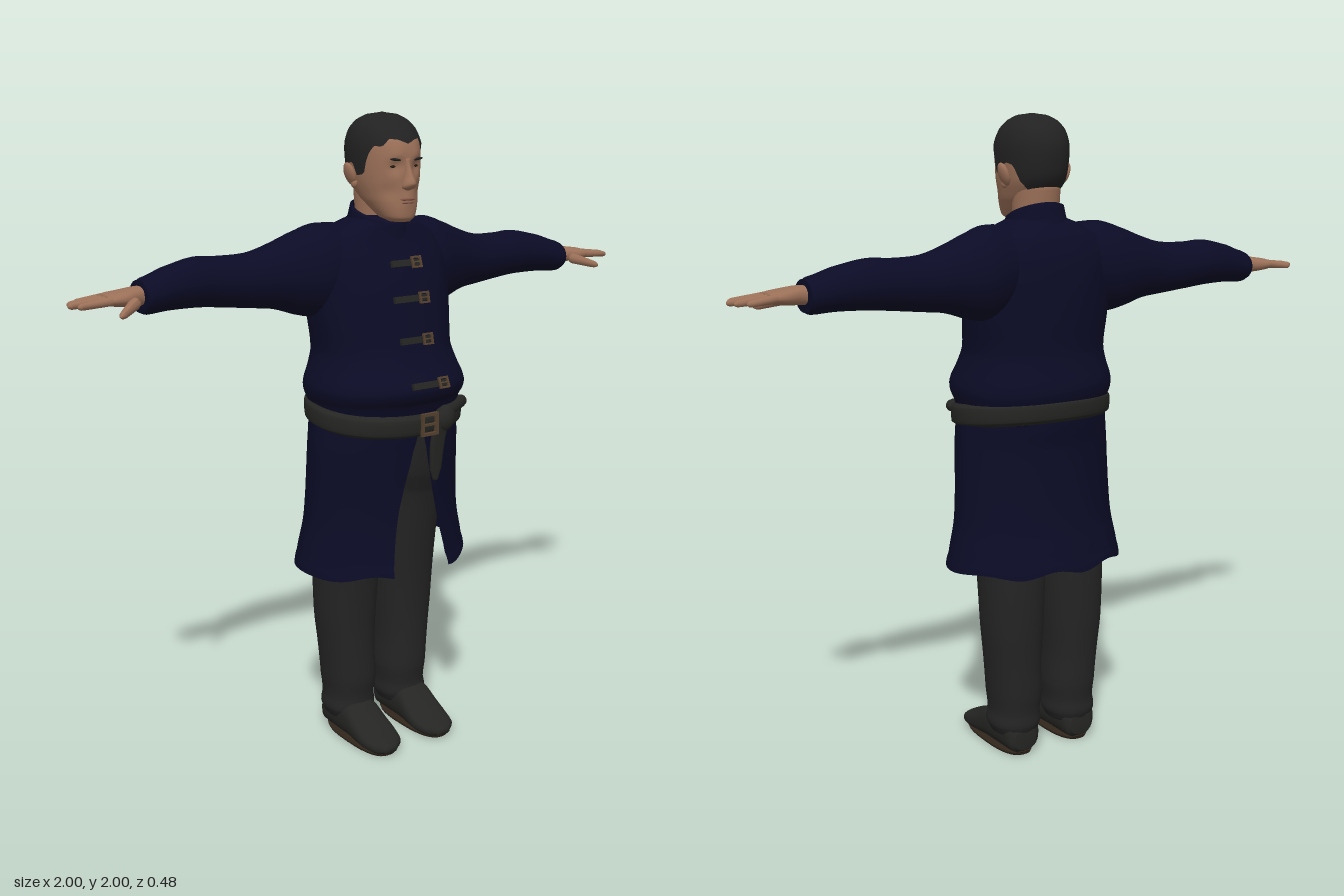
import * as THREE from 'three';

const mat = (name, color, side = THREE.FrontSide) => {
  const m = new THREE.MeshStandardMaterial({ color, side });
  m.name = name;
  return m;
};

// Smoothly interpolated row [t, pMin, pMax, qMin, qMax, ...] at position t
function rowAt(rows, t) {
  let i = 0;
  while (i < rows.length - 2 && t > rows[i + 1][0]) i++;
  const r = k => rows[Math.min(rows.length - 1, Math.max(0, i + k))];
  const [a, b, c, d] = [r(-1), r(0), r(1), r(2)];
  const f = (t - b[0]) / (c[0] - b[0]);
  return b.map((v, k) => k === 0 ? t : 0.5 * (2 * v + (c[k] - a[k]) * f +
    (2 * a[k] - 5 * v + 4 * c[k] - d[k]) * f * f + (3 * v - a[k] - 3 * c[k] + d[k]) * f * f * f));
}

// Point on a superellipse section; angle 0 faces +q, growing towards +p
function ringPoint(row, ang, e = 2) {
  const pw = v => Math.sign(v) * Math.abs(v) ** (2 / e);
  return [(row[1] + row[2]) / 2 + (row[2] - row[1]) / 2 * pw(Math.sin(ang)),
    (row[3] + row[4]) / 2 + (row[4] - row[3]) / 2 * pw(Math.cos(ang))];
}

// Grid of points joined into a smooth surface
function surface(grid, closed) {
  const n = grid[0].length, idx = [];
  for (let i = 0; i < grid.length - 1; i++)
    for (let j = 0; j < (closed ? n : n - 1); j++) {
      const k = (j + 1) % n, a = i * n + j, b = i * n + k;
      idx.push(a, b, b + n, a, b + n, a + n);
    }
  const g = new THREE.BufferGeometry();
  g.setAttribute('position', new THREE.Float32BufferAttribute(grid.flat(2), 3));
  g.setIndex(idx);
  g.computeVertexNormals();
  return g;
}

// Loft of sections along an axis; columns 5 and 6 of a row give an opening in front
function loft(axis, rows, { n = 32, k = 4, e = 2, cap = true, gap = false, warp = null } = {}) {
  const secs = [];
  for (let i = 0; i < rows.length - 1; i++)
    for (let s = 0; s < k; s++) secs.push(rowAt(rows, rows[i][0] + (rows[i + 1][0] - rows[i][0]) * s / k));
  secs.push(rows[rows.length - 1]);
  if (cap) {
    const dot = r => { const p = (r[1] + r[2]) / 2, q = (r[3] + r[4]) / 2; return [r[0], p, p, q, q]; };
    secs.unshift(dot(secs[0]));
    secs.push(dot(secs[secs.length - 1]));
  }
  const grid = secs.map(r => Array.from({ length: gap ? n + 1 : n }, (_, j) => {
    let ang = j / n * Math.PI * 2;
    if (gap) {
      const a0 = Math.asin(r[6] / r[2]), a1 = Math.PI * 2 - Math.asin(r[5] / r[1]);
      ang = a0 + (a1 - a0) * j / n;
    }
    const [p, q] = ringPoint(r, ang, e), t = r[0];
    const v = axis === 'y' ? [p, t, q] : axis === 'x' ? [t, q, p] : [q, p, t];
    return warp ? warp(v) : v;
  }));
  return surface(grid, !gap);
}

// Tapered capsule from a to b
function finger(a, b, r0, r1) {
  const A = new THREE.Vector3(...a), B = new THREE.Vector3(...b), d = B.clone().sub(A), L = d.length();
  const g = new THREE.CapsuleGeometry(r0, L - 2 * r0, 4, 10), p = g.attributes.position;
  for (let i = 0; i < p.count; i++) {
    const s = 1 + (r1 / r0 - 1) * (p.getY(i) / L + 0.5);
    p.setXYZ(i, p.getX(i) * s, p.getY(i), p.getZ(i) * s);
  }
  g.computeVertexNormals();
  g.applyQuaternion(new THREE.Quaternion().setFromUnitVectors(new THREE.Vector3(0, 1, 0), d.normalize()));
  return g.translate(...A.add(B).multiplyScalar(0.5).toArray());
}

function blob(x, y, z, sx, sy, sz, rz = 0) {
  return new THREE.SphereGeometry(1, 20, 14).scale(sx, sy, sz).rotateZ(rz).translate(x, y, z);
}

function mirrored(geo) {
  const g = geo.clone().scale(-1, 1, 1), ix = g.index.array;
  for (let i = 0; i < ix.length; i += 3) [ix[i], ix[i + 1]] = [ix[i + 1], ix[i]];
  return g;
}

// Rectangular buckle frame with a prong
function buckle(w, h, bar, depth) {
  const box = (s, a, b) => s.moveTo(-a, -b).lineTo(a, -b).lineTo(a, b).lineTo(-a, b).closePath();
  const s = box(new THREE.Shape(), w / 2, h / 2);
  s.holes.push(box(new THREE.Path(), w / 2 - bar, h / 2 - bar));
  return new THREE.ExtrudeGeometry(s, { depth, bevelEnabled: false });
}

export function createModel() {
  const model = new THREE.Group();
  model.name = 'man';
  const navy = mat('navy cloth', 0x0b0b26, THREE.DoubleSide), grey = mat('charcoal cloth', 0x242424);
  const skin = mat('skin', 0x9b7058), black = mat('hair', 0x222222, THREE.DoubleSide);
  const leather = mat('dark leather', 0x252523, THREE.DoubleSide), metal = mat('dull bronze', 0x55412f);
  const lip = mat('lips', 0x85584a), eyeMat = mat('eye', 0x2a1d16), sole = mat('sole', 0x30251b);
  const add = (name, geo, m) => {
    const o = new THREE.Mesh(geo, m);
    o.name = name;
    model.add(o);
    return o;
  };
  const pair = (name, geo, m) => {
    add('left ' + name, geo, m);
    add('right ' + name, mirrored(geo), m);
  };

  // Coat body, bloused above the belt
  const body = [[1.08, -.235, .235, -.195, .185], [1.14, -.245, .245, -.205, .2], [1.17, -.257, .254, -.215, .22],
    [1.2, -.257, .252, -.216, .222], [1.25, -.238, .237, -.205, .192], [1.3, -.226, .226, -.197, .167],
    [1.4, -.235, .235, -.2, .145], [1.5, -.24, .24, -.2, .122], [1.58, -.238, .238, -.192, .095],
    [1.64, -.2, .2, -.17, .07], [1.675, -.13, .13, -.14, .06], [1.7, -.075, .075, -.11, .04]];
  add('coat body', loft('y', body, { n: 48, e: 2.2 }), navy);

  // Coat skirt, open at the front
  add('coat skirt', loft('y', [[.6, -.3, .298, -.236, .2, -.095, .125], [.64, -.292, .29, -.228, .19, -.09, .115],
    [.75, -.272, .27, -.207, .178, -.075, .09], [.85, -.265, .262, -.196, .176, -.055, .066],
    [1, -.26, .256, -.19, .185, -.02, .03], [1.07, -.25, .25, -.198, .19, -.005, .01],
    [1.13, -.243, .243, -.2, .19, 0, 0]], {
    n: 64, cap: false, gap: true,
    warp: ([x, y, z]) => [x, y + Math.max(0, .75 - y) * (.08 - .3 * z + .06 * Math.sin(x * 30)), z]
  }), navy);

  // Stand-up collar, higher at the nape
  add('collar', loft('y', [[1.6, -.115, .115, -.15, .085], [1.65, -.098, .098, -.128, .075], [1.7, -.088, .088, -.115, .068],
    [1.705, -.08, .08, -.105, .058], [1.66, -.08, .08, -.105, .058]].slice(0, 4),
  { cap: false, warp: ([x, y, z]) => [x, y - .35 * z, z] }), navy);

  // Sleeves
  pair('sleeve', loft('x', [[.1, -.16, .05, 1.43, 1.675], [.2, -.182, .05, 1.4, 1.68], [.26, -.185, .035, 1.405, 1.662],
    [.35, -.172, .005, 1.432, 1.628], [.43, -.165, -.012, 1.442, 1.605], [.53, -.168, -.022, 1.453, 1.602],
    [.6, -.167, -.022, 1.46, 1.605], [.7, -.152, -.018, 1.462, 1.585], [.77, -.142, -.015, 1.458, 1.562],
    [.785, -.136, -.02, 1.464, 1.556]]), navy);

  // Hands
  pair('palm', loft('x', [[.76, -.11, -.045, 1.485, 1.54], [.8, -.112, -.035, 1.487, 1.54], [.84, -.122, -.022, 1.488, 1.535],
    [.875, -.126, -.02, 1.493, 1.53], [.895, -.123, -.026, 1.497, 1.525]], { n: 20, e: 2.4 }), skin);
  [[-.112, -.122, .963], [-.087, -.097, .99], [-.061, -.066, 1], [-.036, -.034, .985]].forEach(([z0, z1, x], i) =>
    pair('finger ' + (i + 1), finger([.865, 1.513, z0], [x, 1.503, z1], .0135, .009), skin));
  pair('thumb', finger([.81, 1.505, -.035], [.89, 1.476, .028], .019, .01), skin);

  // Trousers
  pair('trouser leg', loft('y', [[.07, .035, .175, -.14, .02], [.1, .022, .188, -.15, .03], [.14, .024, .182, -.148, .028],
    [.2, .018, .187, -.155, .036], [.3, .022, .195, -.158, .036], [.42, .016, .207, -.166, .04],
    [.6, .008, .212, -.17, .058], [.82, .006, .212, -.165, .095], [.9, -.012, .21, -.16, .13],
    [1.06, -.02, .2, -.16, .16]], { e: 2.2 }), grey);

  // Shoes with brown soles
  pair('shoe', loft('z', [[-.142, .02, .09, .07, .145], [-.125, .008, .12, .05, .164], [-.06, .006, .14, .045, .17],
    [.02, .006, .13, .042, .172], [.07, .006, .095, .038, .174], [.12, .006, .065, .038, .172],
    [.165, .006, .05, .052, .16], [.19, .012, .032, .085, .13]], { e: 2.5 }), leather);
  pair('shoe sole', loft('y', [[0, .05, .165, -.132, .178], [.012, .045, .17, -.137, .184]], { e: 2.6, k: 1 }), sole);

  // Belt, with buckle, knot and hanging end
  const tilt = ([x, y, z]) => [x, y - .12 * z, z];
  add('belt', loft('y', [[1.068, -.245, .245, -.2, .193], [1.08, -.257, .257, -.212, .207],
    [1.125, -.257, .257, -.214, .209], [1.138, -.245, .245, -.2, .196]], { n: 48, e: 2.1, cap: false, warp: tilt }), leather);
  add('belt buckle', buckle(.062, .07, .009, .012).translate(.018, 1.083, .206), metal);
  add('belt buckle prong', new THREE.BoxGeometry(.05, .007, .008).translate(.018, 1.083, .216), metal);
  add('belt knot', blob(.088, 1.09, .198, .034, .042, .026, -.3), leather);
  add('belt loop', finger([.06, 1.1, .205], [.235, 1.112, .105], .024, .02), leather);
  add('belt hanging end', loft('y', [[.895, .05, .068, .185, .195], [.93, .04, .08, .18, .198],
    [1.02, .036, .088, .186, .206], [1.1, .05, .1, .19, .214]], { n: 16, e: 3 }), leather);

  // Chest straps and buckles, following the slope of the coat front
  [[1.56, -.035, .045], [1.457, -.045, .052], [1.335, -.04, .047], [1.207, -.04, .062]].forEach(([y, x0, xb], i) => {
    const fz = v => rowAt(body, v)[4];
    const g = new THREE.Group();
    g.name = 'chest fastening ' + (i + 1);
    g.position.set(0, y, fz(y));
    g.rotation.x = Math.atan2(fz(y - .02) - fz(y + .02), -.04) + Math.PI;
    if (g.rotation.x > Math.PI) g.rotation.x -= Math.PI * 2;
    g.rotation.x = -Math.atan((fz(y - .02) - fz(y + .02)) / .04);
    const part = (name, geo, m) => { const o = new THREE.Mesh(geo, m); o.name = name; g.add(o); };
    part('strap', new THREE.BoxGeometry(xb - x0 + .025, .02, .016).translate((x0 + xb) / 2, 0, 0), leather);
    part('buckle', buckle(.036, .036, .006, .008).translate(xb - .004, 0, .006), metal);
    part('prong', new THREE.BoxGeometry(.03, .004, .004).translate(xb - .004, 0, .012), metal);
    model.add(g);
  });

  // Head and neck
  add('neck', loft('y', [[1.58, -.07, .07, -.1, .04], [1.7, -.071, .071, -.1, .042], [1.8, -.075, .075, -.108, .05]]), skin);
  const head = [[1.685, -.03, .03, .045, .113], [1.697, -.05, .05, .01, .122], [1.72, -.064, .064, -.03, .124],
    [1.75, -.079, .079, -.075, .122], [1.8, -.093, .093, -.115, .122], [1.86, -.099, .099, -.127, .122],
    [1.91, -.099, .099, -.126, .115], [1.95, -.088, .088, -.11, .093], [1.975, -.068, .068, -.085, .066],
    [1.99, -.042, .042, -.053, .035], [1.996, -.004, .004, -.014, -.004]];
  const hollow = ([x, y, z]) => {
    const g = (cx, cy, s) => Math.exp(-((Math.abs(x) - cx) ** 2 + (y - cy) ** 2) / (s * s));
    return [x, y, z > .03 ? z - .012 * g(.036, 1.847, .018) + .005 * g(.035, 1.878, .02) + .005 * g(0, 1.748, .022)
      - .006 * g(.055, 1.775, .022) : z];
  };
  add('head', loft('y', head, { n: 64, k: 5, e: 2.15, warp: hollow }), skin);

  // Cropped hair with a shaped hairline: [degrees from front, height]
  const line = [[0, 1.908], [16, 1.92], [30, 1.922], [42, 1.9], [56, 1.902], [68, 1.87], [76, 1.82], [90, 1.815],
    [96, 1.855], [112, 1.845], [124, 1.8], [140, 1.775], [180, 1.765]];
  const hairline = deg => {
    let i = 0;
    while (i < line.length - 2 && deg > line[i + 1][0]) i++;
    const [a, b] = [line[i], line[i + 1]];
    return a[1] + (b[1] - a[1]) * (deg - a[0]) / (b[0] - a[0]);
  };
  add('hair', surface(Array.from({ length: 21 }, (_, i) => Array.from({ length: 72 }, (_, j) => {
    const ang = j / 72 * Math.PI * 2, h = hairline(Math.min(j, 72 - j) * 5);
    const y = h + (1.996 - h) * Math.sin(i / 20 * Math.PI / 2);
    const [x, z] = ringPoint(rowAt(head, y), ang, 2.15);
    return [x * 1.045, y + .004, -.009 + (z + .009) * 1.045];
  })), true), black);

  // Face
  add('nose', loft('y', [[1.778, -.01, .01, .1, .128], [1.785, -.021, .021, .1, .143], [1.798, -.02, .02, .1, .152],
    [1.82, -.013, .013, .1, .143], [1.845, -.01, .01, .1, .131], [1.87, -.012, .012, .1, .124]], { n: 20 }), skin);
  add('upper lip', blob(0, 1.752, .122, .027, .005, .007), lip);
  add('lower lip', blob(0, 1.742, .121, .022, .005, .007), lip);
  pair('eye', blob(.036, 1.847, .101, .015, .0055, .005), eyeMat);
  pair('eyebrow', blob(.038, 1.867, .114, .022, .004, .006, .1), black);
  pair('ear', blob(.108, 1.822, -.022, .013, .036, .024, -.35), skin);
  pair('ear lobe', blob(.1, 1.795, -.012, .009, .014, .012), skin);

  return model;
}
